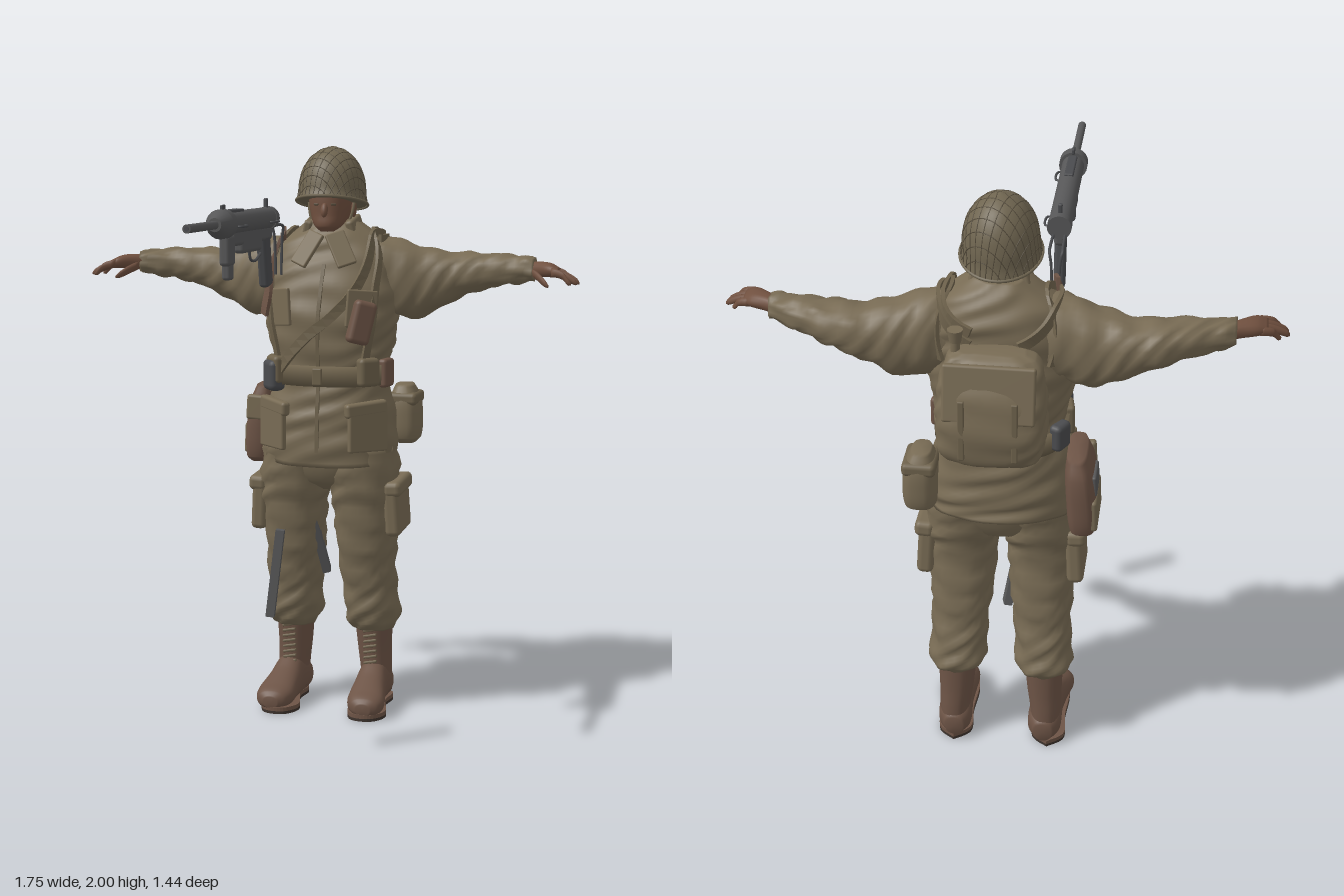
import * as THREE from 'three';
import { RoundedBoxGeometry } from 'three/addons/geometries/RoundedBoxGeometry.js';

const paint = (name, color) => Object.assign(new THREE.MeshStandardMaterial({ color }), { name });
const V = (x, y, z) => new THREE.Vector3(x, y, z);
const curve = (pts, closed = false) => new THREE.CatmullRomCurve3(pts, closed);
const list = (n, f) => Array.from({ length: n }, (_, i) => f(i));

// Smoothly interpolate a table of rows along its first column
function rowAt(rows, t) {
  let i = 0;
  while (i < rows.length - 2 && t > rows[i + 1][0]) i++;
  const a = rows[i], b = rows[i + 1], p = rows[Math.max(i - 1, 0)], q = rows[Math.min(i + 2, rows.length - 1)];
  const h = b[0] - a[0], u = THREE.MathUtils.clamp((t - a[0]) / h, 0, 1), s = u * u * (3 - 2 * u);
  return a.map((v, k) => k === 0 ? t : (1 - s) * v + s * b[k]
    + u * (1 - u) ** 2 * h * (b[k] - p[k]) / (b[0] - p[0]) + u * u * (u - 1) * h * (q[k] - v) / (q[0] - a[0]));
}

// Skin closed rings of points, cap both ends and face outwards
function skinRings(rings, flat = false) {
  const n = rings[0].length, pts = rings.flat(), idx = [], last = rings.length - 1;
  for (let i = 0; i < last; i++) for (let j = 0; j < n; j++) {
    const a = i * n + j, b = i * n + (j + 1) % n;
    idx.push(a, a + n, b, b, a + n, b + n);
  }
  for (const r of [0, last]) {
    const c = pts.push(rings[r].reduce((s, p) => s.add(p), V(0, 0, 0)).divideScalar(n)) - 1;
    for (let j = 0; j < n; j++) {
      const a = r * n + j, b = r * n + (j + 1) % n;
      idx.push(c, ...(r ? [b, a] : [a, b]));
    }
  }
  let volume = 0;
  for (let i = 0; i < idx.length; i += 3) volume += pts[idx[i]].dot(pts[idx[i + 1]].clone().cross(pts[idx[i + 2]]));
  if (volume < 0) idx.reverse();
  let g = new THREE.BufferGeometry().setFromPoints(pts).setIndex(idx);
  if (flat) g = g.toNonIndexed();
  g.computeVertexNormals();
  return g;
}

const pw = (v, e) => Math.sign(v) * Math.abs(v) ** (2 / e);
// Rows: [position on axis, centre, centre, radius, radius], other axes in x, y, z order
function loft(axis, rows, { n = 28, steps = 5, e = 2.3, fold = 0, move = p => p } = {}) {
  return skinRings(list((rows.length - 1) * steps + 1, i => {
    const k = Math.min(Math.floor(i / steps), rows.length - 2);
    const t = THREE.MathUtils.lerp(rows[k][0], rows[k + 1][0], i / steps - k), [, c1, c2, r1, r2] = rowAt(rows, t);
    return list(n, j => {
      const a = j / n * Math.PI * 2, w = fold * Math.sin(t * 62 + 3 * Math.sin(a * 2 + t * 9)) * Math.sin(a * 3 + t * 17);
      const u = c1 + (r1 + w) * pw(Math.cos(a), e), v = c2 + (r2 + w) * pw(Math.sin(a), e);
      return move(axis === 'x' ? V(t, u, v) : axis === 'y' ? V(u, t, v) : V(u, v, t));
    });
  }));
}

const TORSO = [[0.92, 0, -0.36, 0.235, 0.19], [1.0, 0, -0.36, 0.238, 0.188], [1.1, 0, -0.36, 0.222, 0.182],
  [1.2, 0, -0.362, 0.198, 0.172], [1.3, 0, -0.36, 0.212, 0.176], [1.4, 0, -0.358, 0.232, 0.178], [1.5, 0, -0.365, 0.238, 0.165],
  [1.6, 0, -0.385, 0.225, 0.148], [1.67, 0, -0.395, 0.185, 0.125], [1.72, 0, -0.395, 0.12, 0.095], [1.75, 0, -0.39, 0.08, 0.075]];
// Point on the jacket at an angle (90 = front) and height
function onTorso(deg, y, off = 0) {
  const [, , cz, rx, rz] = rowAt(TORSO, y), a = deg * Math.PI / 180;
  return V((rx + off) * pw(Math.cos(a), 2.3), y, cz + (rz + off) * pw(Math.sin(a), 2.3));
}

export function createModel() {
  const khaki = paint('khaki cloth', 0x786b54), web = paint('dark webbing', 0x6e624c), olive = paint('helmet olive', 0x6f6550);
  const net = paint('net', 0x544b3b), skin = paint('skin', 0x70503f), leather = paint('brown leather', 0x6d5446);
  const sole = paint('sole', 0x3d332d), steel = paint('gun steel', 0x575758), dark = paint('dark steel', 0x4a4b4e);
  const model = new THREE.Group();
  let target = model;
  const add = (name, g, mat, x = 0, y = 0, z = 0, rx = 0, ry = 0, rz = 0) => {
    const m = new THREE.Mesh(g, mat);
    m.name = name;
    m.position.set(x, y, z);
    m.rotation.set(rx, ry, rz);
    target.add(m);
    return m;
  };
  const box = (name, mat, w, h, d, ...at) => add(name, new RoundedBoxGeometry(w, h, d, 2, Math.min(w, h, d) * 0.35), mat, ...at);
  const cyl = (name, mat, r1, r2, len, ...at) => add(name, new THREE.CylinderGeometry(r1, r2, len, 20), mat, ...at);
  const tube = (name, mat, pts, r) => add(name, new THREE.TubeGeometry(curve(pts), 24, r, 6), mat);
  const pouch = (name, mat, deg, y, w, h, d, tilt = 0) => {
    const p = onTorso(deg, y, d * 0.35);
    box(name, mat, w, h, d, p.x, p.y, p.z, 0, (90 - deg) * Math.PI / 180, tilt);
  };
  // Flat band laid over the jacket through [angle, height] points
  const strap = (name, mat, pts, width, off = 0.008) => {
    const path = curve(pts.map(([a, y]) => V(a, y * 100, 0)));
    const P = list(33, i => path.getPoint(i / 32)).map(q => onTorso(q.x, q.y / 100, off));
    add(name, skinRings(P.map((p, i) => {
      const t = P[Math.min(i + 1, 32)].clone().sub(P[Math.max(i - 1, 0)]).normalize();
      const o = V(p.x, 0, p.z + 0.37).normalize(), s = t.cross(o).normalize();
      return [[1, 1], [-1, 1], [-1, -1], [1, -1]].map(([a, b]) =>
        p.clone().addScaledVector(s, a * width / 2).addScaledVector(o, b * 0.006));
    }), true), mat);
  };

  // Jacket with a hem that dips at the front, belt and straps
  const hem = p => p.setY(p.y - (p.z + 0.36) * 1.6 * Math.max(0, 1 - p.y));
  add('jacket', loft('y', TORSO, { n: 48, steps: 7, fold: 0.006, move: hem }), khaki);
  add('belt', loft('y', [[1.18, 0, -0.362, 0.212, 0.188], [1.25, 0, -0.361, 0.214, 0.186]], { n: 48, steps: 1 }), web);
  box('buckle', web, 0.035, 0.06, 0.015, 0, 1.215, -0.172);
  strap('placket', web, [[90, 0.95], [90, 1.17], [90, 1.4], [89, 1.6]], 0.012, 0.002);
  strap('shoulderSling', web, [[-75, 1.62], [-20, 1.69], [40, 1.67], [66, 1.5], [100, 1.34], [150, 1.16]], 0.034, 0.014);
  strap('rightLeatherStrap', leather, [[141, 1.42], [135, 1.5], [137, 1.6], [146, 1.68], [165, 1.695]], 0.055, 0.022);
  for (const s of [1, -1]) {
    const d = a => 90 - s * a;
    strap('suspender', web, [[d(44), 1.25], [d(46), 1.4], [d(48), 1.55], [d(65), 1.68], [d(120), 1.67], [d(140), 1.5]], 0.028);
    strap('packShoulderStrap', web, [[d(165), 1.58], [d(120), 1.67], [d(70), 1.68]], 0.035, 0.012);
    pouch('ammoPouch', web, d(48), 1.23, 0.08, 0.1, 0.045);
    pouch('sidePouch', s > 0 ? leather : web, d(80), 1.22, 0.075, 0.1, 0.035);
    pouch('skirtPocket', khaki, d(42), 1.03, 0.15, 0.15, 0.022);
    pouch('skirtPocketFlap', khaki, d(42), 1.105, 0.16, 0.05, 0.034, s * 0.08);
    pouch('chestPocket', khaki, d(34), 1.45, 0.11, 0.13, 0.015, -s * 0.08);
    box('lapel', khaki, 0.07, 0.13, 0.016, s * 0.06, 1.65, -0.258, -0.5, s * 0.3, s * 0.5);
    box('collar', khaki, 0.03, 0.055, 0.12, s * 0.078, 1.728, -0.37, 0.2, 0, s * 0.25);
  }
  pouch('leatherPouch', leather, 56, 1.405, 0.08, 0.15, 0.05, -0.25);
  pouch('pistolGripPouch', dark, 140, 1.21, 0.085, 0.11, 0.06);
  pouch('rightHipTool', dark, 208, 1.23, 0.07, 0.09, 0.045);
  pouch('beltTool', steel, -90, 1.22, 0.24, 0.08, 0.035);

  // Outline shared by both boot soles
  const outline = new THREE.Shape(new THREE.SplineCurve([[0, -0.51], [0.055, -0.46], [0.05, -0.36], [0.07, -0.24], [0.045, -0.175],
    [0, -0.158], [-0.045, -0.175], [-0.068, -0.24], [-0.05, -0.36], [-0.055, -0.46], [0, -0.51]]
    .map(([x, z]) => new THREE.Vector2(x + (z < -0.35 ? 0.154 : 0.166), -z))).getPoints(44));
  for (const s of [1, -1]) {
    // Arms and hands
    const limb = (name, mat, rows, opts) =>
      add(name, loft('x', rows.map(([x, ...r]) => [s * x, ...r]).sort((a, b) => a[0] - b[0]), opts), mat);
    limb('sleeve', khaki, [[0.1, 1.565, -0.395, 0.12, 0.09], [0.2, 1.555, -0.405, 0.132, 0.105], [0.3, 1.533, -0.42, 0.127, 0.098],
      [0.4, 1.547, -0.433, 0.09, 0.09], [0.5, 1.568, -0.433, 0.068, 0.082], [0.6, 1.58, -0.41, 0.053, 0.063],
      [0.68, 1.584, -0.387, 0.044, 0.05], [0.715, 1.584, -0.375, 0.037, 0.044]], { fold: 0.007 });
    limb('hand', skin, [[0.69, 1.585, -0.38, 0.024, 0.03], [0.73, 1.588, -0.358, 0.026, 0.036],
      [0.775, 1.587, -0.334, 0.024, 0.046], [0.808, 1.58, -0.32, 0.015, 0.04]], { n: 16 });
    [0.85, 0.877, 0.873, 0.855].forEach((tip, k) => {
      const z = -0.36 + k * 0.024;
      limb('finger', skin, [[0.785, 1.583, z, 0.015, 0.013], [0.825, 1.573, z + 0.014, 0.013, 0.012],
        [tip - 0.01, 1.553, z + 0.026, 0.011, 0.01], [tip, 1.547, z + 0.029, 0.004, 0.004]], { n: 8, steps: 3 });
    });
    limb('thumb', skin, [[0.712, 1.578, -0.345, 0.014, 0.017], [0.74, 1.562, -0.31, 0.015, 0.018],
      [0.765, 1.545, -0.28, 0.012, 0.014], [0.778, 1.537, -0.268, 0.005, 0.006]], { n: 8, steps: 3 });

    // Trousers with cargo pockets
    add('trouserLeg', loft('y', [[0.285, s * 0.147, -0.415, 0.075, 0.085], [0.315, s * 0.146, -0.41, 0.094, 0.108],
      [0.37, s * 0.143, -0.402, 0.093, 0.11], [0.46, s * 0.138, -0.385, 0.094, 0.106], [0.6, s * 0.132, -0.365, 0.104, 0.114],
      [0.75, s * 0.132, -0.348, 0.116, 0.118], [0.83, s * 0.126, -0.348, 0.126, 0.135], [0.97, s * 0.115, -0.352, 0.118, 0.15]],
    { fold: 0.008 }), khaki);
    box('cargoPocket', khaki, 0.055, 0.18, 0.19, s * 0.243, 0.74, -0.355, 0.06, 0, s * 0.06);
    box('cargoFlap', khaki, 0.065, 0.055, 0.2, s * 0.246, 0.82, -0.352, 0.06, 0, s * 0.06);

    // Laced boots
    add('bootShaft', loft('y', [[0.04, s * 0.156, -0.43, 0.052, 0.075], [0.12, s * 0.155, -0.425, 0.053, 0.078],
      [0.2, s * 0.15, -0.422, 0.058, 0.076], [0.31, s * 0.147, -0.415, 0.066, 0.08]]), leather);
    add('bootFoot', loft('z', [[-0.51, s * 0.152, 0.06, 0.03, 0.035], [-0.47, s * 0.153, 0.07, 0.055, 0.058],
      [-0.38, s * 0.156, 0.085, 0.054, 0.083], [-0.3, s * 0.16, 0.07, 0.06, 0.062], [-0.22, s * 0.167, 0.052, 0.067, 0.045],
      [-0.178, s * 0.17, 0.045, 0.052, 0.034], [-0.16, s * 0.17, 0.04, 0.025, 0.02]],
    { move: p => p.setY(Math.max(p.y, 0.018)) }), leather);
    for (const [name, mat, y, depth] of [['bootSole', sole, 0, 0.01], ['bootWelt', leather, 0.01, 0.014]])
      add(name, new THREE.ExtrudeGeometry(outline, { depth, bevelEnabled: false }).rotateX(-Math.PI / 2), mat, s < 0 ? -0.32 : 0, y);
    for (let k = 0; k < 8; k++) box('bootLace', web, 0.05, 0.009, 0.012, s * 0.151, 0.145 + k * 0.02, -0.345 + k * 0.0015, 0, 0, 0.2);
  }
  add('trouserSeat', loft('y', [[0.8, 0, -0.35, 0.05, 0.06], [0.84, 0, -0.35, 0.13, 0.12], [0.95, 0, -0.355, 0.21, 0.155]]), khaki);

  // Head and face
  add('neck', loft('y', [[1.66, 0, -0.385, 0.06, 0.06], [1.8, 0, -0.375, 0.058, 0.062]]), skin);
  add('head', loft('y', [[1.708, 0, -0.315, 0.026, 0.04], [1.728, 0, -0.33, 0.05, 0.07], [1.765, 0, -0.345, 0.066, 0.083],
    [1.815, 0, -0.352, 0.075, 0.09], [1.9, 0, -0.36, 0.078, 0.092]]), skin);
  add('nose', new THREE.SphereGeometry(1, 12, 10), skin, 0, 1.783, -0.26, -0.3).scale.set(0.013, 0.026, 0.014);
  box('lips', leather, 0.04, 0.009, 0.01, 0, 1.746, -0.267);
  for (const s of [1, -1]) {
    add('ear', new THREE.SphereGeometry(1, 10, 8), skin, s * 0.077, 1.785, -0.365).scale.set(0.01, 0.03, 0.018);
    box('eye', net, 0.018, 0.007, 0.008, s * 0.031, 1.802, -0.268, 0, s * 0.3);
    tube('chinStrap', web, [V(s * 0.085, 1.83, -0.36), V(s * 0.076, 1.77, -0.345), V(s * 0.066, 1.74, -0.34)], 0.005);
  }

  // Helmet raised over the brow, covered with a square net
  const dome = [[1.805, 0, -0.36, 0.124, 0.139], [1.83, 0, -0.362, 0.118, 0.131], [1.87, 0, -0.365, 0.115, 0.126],
    [1.92, 0, -0.366, 0.102, 0.112], [1.965, 0, -0.366, 0.072, 0.08], [1.99, 0, -0.366, 0.036, 0.04], [2, 0, -0.366, 0.004, 0.004]];
  const tilt = p => p.setY(p.y + (p.z + 0.36) * 1.1 * (2 - p.y));
  const onDome = (y, a) => {
    const [, , cz, rx, rz] = rowAt(dome, y);
    return tilt(V(rx * Math.cos(a), y, cz + rz * Math.sin(a)));
  };
  add('helmet', loft('y', dome, { n: 32, e: 2, move: tilt }), olive);
  add('helmetRim', new THREE.TubeGeometry(curve(list(24, i => onDome(1.805, i / 12 * Math.PI)), true), 48, 0.005, 6, true), olive);
  for (const turn of [0.4, 0.4 + Math.PI / 2]) for (let c = -0.87; c < 0.9; c += 0.145)
    tube('helmetNet', net, list(15, i => (i / 7 - 1) * Math.sqrt(1 - c * c)).map(v =>
      onDome(1.808 + 0.19 * Math.cos(Math.hypot(c, v) * Math.PI / 2), Math.atan2(v, c) + turn)), 0.0015);

  // Backpack
  add('backpack', loft('y', [[1.235, 0, -0.61, 0.12, 0.06], [1.26, 0, -0.612, 0.15, 0.085], [1.32, 0, -0.613, 0.166, 0.1],
    [1.42, 0, -0.61, 0.166, 0.097], [1.52, 0, -0.598, 0.155, 0.078], [1.575, 0, -0.585, 0.135, 0.052], [1.59, 0, -0.58, 0.1, 0.03]],
  { e: 3.2, fold: 0.006, n: 36 }), khaki);
  box('backpackFlap', khaki, 0.28, 0.18, 0.024, 0, 1.49, -0.673, 0.22);
  for (const x of [0.08, -0.08]) box('backpackStrap', web, 0.02, 0.2, 0.012, x, 1.38, -0.706, 0.03);
  cyl('toolHandle', khaki, 0.014, 0.014, 0.14, 0.11, 1.575, -0.585);
  cyl('toolKnob', khaki, 0.024, 0.018, 0.04, 0.11, 1.635, -0.585);

  // Canteen and side bag
  add('canteenCover', loft('y', [[0.955, 0.245, -0.475, 0.035, 0.045], [0.975, 0.245, -0.475, 0.052, 0.07],
    [1.05, 0.245, -0.475, 0.056, 0.077], [1.12, 0.243, -0.475, 0.05, 0.07], [1.165, 0.24, -0.475, 0.03, 0.045]], { e: 2.8 }), khaki);
  box('canteenFlap', web, 0.108, 0.045, 0.144, 0.243, 1.115, -0.475);
  add('sideBag', loft('y', [[0.88, -0.27, -0.415, 0.03, 0.08], [0.9, -0.27, -0.415, 0.045, 0.105],
    [1.0, -0.265, -0.415, 0.05, 0.115], [1.1, -0.255, -0.415, 0.045, 0.11], [1.16, -0.245, -0.41, 0.03, 0.09]], { e: 3.2 }), leather);
  box('sideBagPocket', khaki, 0.03, 0.11, 0.18, -0.303, 0.965, -0.425, 0, 0, -0.04);
  box('sideBagFrontPanel', khaki, 0.075, 0.09, 0.03, -0.262, 1.08, -0.313, 0, 0, -0.06);
  box('sideBagPatch', steel, 0.02, 0.07, 0.11, -0.303, 1.06, -0.43, 0, 0, -0.06);

  // Submachine gun, pointing forward
  target = new THREE.Group();
  target.name = 'submachineGun';
  target.position.set(-0.148, 1.762, 0);
  model.add(target);
  for (const [name, mat, r1, r2, len, z] of [['barrel', steel, 0.0135, 0.0135, 0.28, 0.58], ['muzzleBore', dark, 0.008, 0.008, 0.002, 0.7205],
    ['barrelNutCone', steel, 0.022, 0.047, 0.05, 0.44], ['barrelNut', steel, 0.047, 0.047, 0.04, 0.395],
    ['receiver', steel, 0.037, 0.037, 0.48, 0.145], ['rearCap', steel, 0.039, 0.039, 0.03, -0.08]])
    cyl(name, mat, r1, r2, len, 0, 0, z, Math.PI / 2);
  for (const [name, mat, w, h, d, y, z, rx] of [['topCover', dark, 0.03, 0.014, 0.15, 0.036, 0.29], ['lowerHousing', steel, 0.04, 0.085, 0.2, -0.06, 0.135],
    ['housingFront', steel, 0.038, 0.06, 0.12, -0.045, 0.26], ['housingRear', steel, 0.038, 0.05, 0.12, -0.048, -0.02],
    ['magazineHousing', steel, 0.038, 0.1, 0.065, -0.085, 0.345], ['magazineCatch', steel, 0.03, 0.06, 0.045, -0.15, 0.34],
    ['grip', dark, 0.036, 0.19, 0.062, -0.135, -0.045, 0.2], ['rearSight', dark, 0.014, 0.035, 0.014, 0.05, -0.062],
    ['frontSight', dark, 0.01, 0.02, 0.03, 0.05, 0.385]]) box(name, mat, w, h, d, 0, y, z, rx);
  tube('triggerGuard', dark, [V(0, -0.07, 0.125), V(0, -0.125, 0.11), V(0, -0.135, 0.06), V(0, -0.115, 0.0)], 0.005);
  for (const z of [-0.03, 0.31]) tube('sideLoop', dark, [V(0.03, -0.01, z - 0.035), V(0.046, -0.01, z - 0.03),
    V(0.046, -0.01, z + 0.03), V(0.03, -0.01, z + 0.035)], 0.004);
  for (const s of [1, -1]) tube('wireStock', dark, [V(s * 0.018, -0.027, -0.08), V(s * 0.02, -0.027, -0.17),
    V(s * 0.02, -0.035, -0.195), V(s * 0.014, -0.07, -0.202), V(s * 0.01, -0.2, -0.202)], 0.005);
  target = model;

  // Loose magazines: slim slabs leaning between two points
  for (const [a, b] of [[V(-0.018, 0.487, 0.315), V(0.008, 0.77, 0.285)], [V(-0.015, 0.49, -0.36), V(-0.055, 0.71, -0.3)]]) {
    const m = add('magazine', new THREE.BoxGeometry(0.028, a.distanceTo(b), 0.045).rotateY(0.2), steel);
    m.position.copy(a).lerp(b, 0.5);
    m.quaternion.setFromUnitVectors(V(0, 1, 0), b.clone().sub(a).normalize());
  }
  return model;
}
